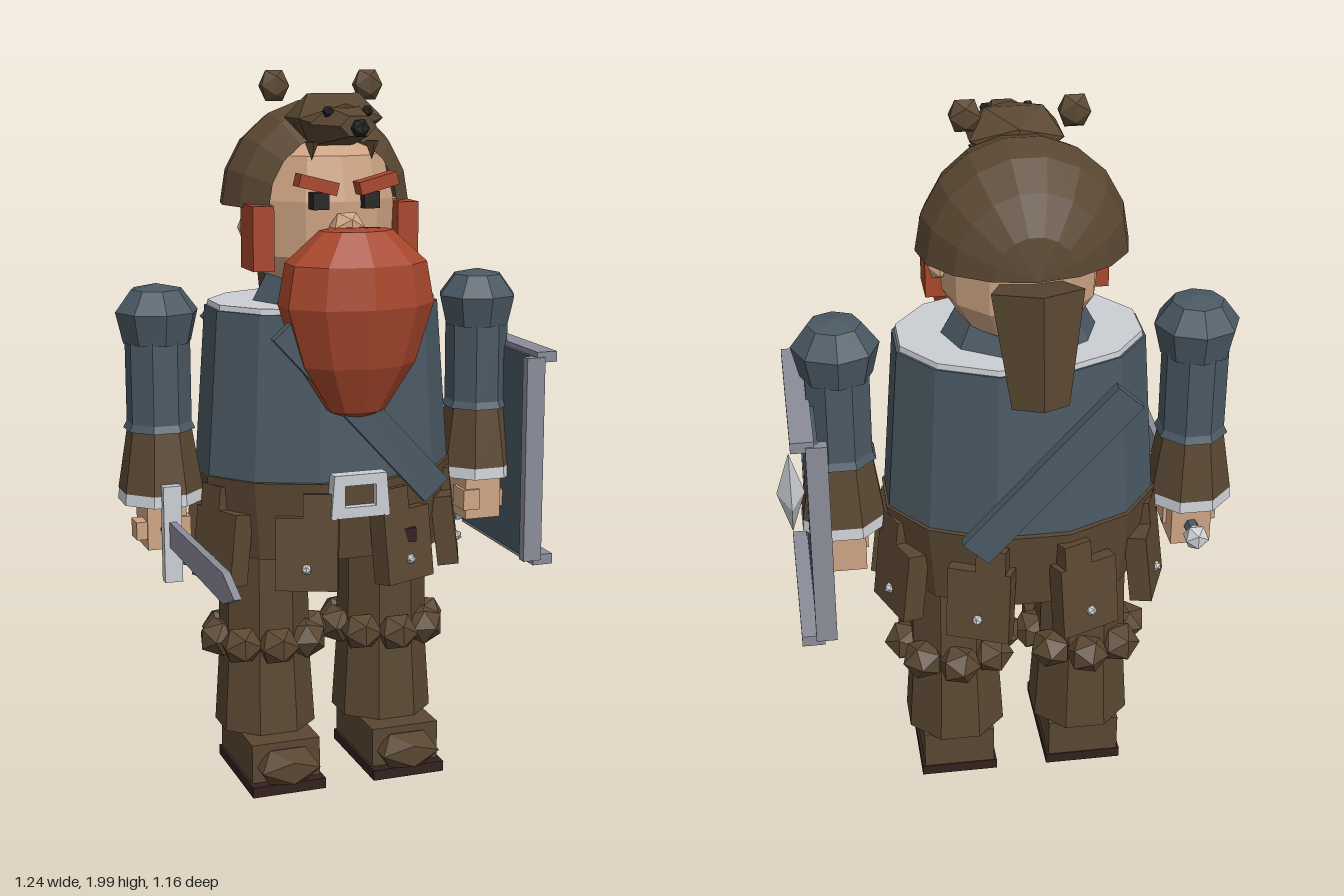
import * as THREE from 'three';

const mat = (name, color, side = THREE.FrontSide) => {
  const m = new THREE.MeshStandardMaterial({ color, flatShading: true, side });
  m.name = name;
  return m;
};

export function createModel() {
  const root = new THREE.Group();
  const body = new THREE.Group();
  body.name = 'figure';
  body.position.set(-0.03, 0, -0.18); // the body stands off centre because of sword and shield
  root.add(body);

  const brown = mat('leatherBrown', 0x5a4732, THREE.DoubleSide);
  const slate = mat('slateArmour', 0x4b5964);
  const steel = mat('steel', 0x8a8d99);
  const light = mat('paleMetal', 0xcbced3);
  const red = mat('redHair', 0xa8472c);
  const skin = mat('skin', 0xcfa584);
  const sole = mat('darkSole', 0x33211f);
  const black = mat('black', 0x262325);

  const add = (name, geo, m, x, y, z, parent = body) => {
    const mesh = new THREE.Mesh(geo, m);
    mesh.name = name;
    mesh.position.set(x, y, z);
    parent.add(mesh);
    return mesh;
  };
  const box = (w, h, d) => new THREE.BoxGeometry(w, h, d);
  const cyl = (rt, rb, h, n) => new THREE.CylinderGeometry(rt, rb, h, n).rotateY(Math.PI / n);
  const ball = (rx, ry = rx, rz = rx) => new THREE.IcosahedronGeometry(1, 0).scale(rx, ry, rz);
  const lathe = (pts, n) => new THREE.LatheGeometry(pts.map(p => new THREE.Vector2(...p)), n);

  // Torso, collar and neck guard
  add('torso', cyl(0.335, 0.37, 0.48, 12).scale(1, 1, 0.74), slate, 0, 1.115, 0);
  add('collar', cyl(0.325, 0.33, 0.03, 12).scale(1, 1, 0.74), light, 0, 1.355, 0);
  add('neckGuard', cyl(0.15, 0.205, 0.1, 10).scale(1, 1, 0.85), slate, 0, 1.415, 0);
  add('waist', cyl(0.375, 0.35, 0.22, 12).scale(1, 1, 0.77), brown, 0, 0.79, 0);

  // Shoulder strap, one plate in front and one behind
  add('strapFront', box(0.09, 0.64, 0.03), slate, 0.01, 1.1, 0.295).rotation.z = 0.74;
  add('strapBack', box(0.09, 0.58, 0.03), slate, -0.04, 1.1, -0.3).rotation.z = 0.74;

  // Belt buckle
  const frame = new THREE.Shape([[-0.085, -0.06], [0.085, -0.06], [0.075, 0.06], [-0.075, 0.06]].map(p => new THREE.Vector2(...p)));
  frame.holes.push(new THREE.Path([[-0.045, -0.03], [-0.045, 0.03], [0.045, 0.03], [0.045, -0.03]].map(p => new THREE.Vector2(...p))));
  add('buckle', new THREE.ExtrudeGeometry(frame, { depth: 0.04, bevelEnabled: false }), light, 0, 0.87, 0.28);
  add('buckleCentre', box(0.1, 0.07, 0.03), brown, 0, 0.87, 0.28);
  add('beltTab', box(0.11, 0.04, 0.03), sole, 0.115, 0.74, 0.285);

  // Skirt plates with rivets
  for (let i = 0; i < 8; i++) {
    const a = (i + 0.5) * Math.PI / 4;
    const plate = new THREE.Group();
    plate.name = 'skirtPlate';
    plate.position.set(Math.sin(a) * 0.36, 0.71, Math.cos(a) * 0.295);
    plate.rotation.set(-0.12, a, 0, 'YXZ');
    body.add(plate);
    add('plate', box(0.17, 0.2, 0.06), brown, 0, 0, 0, plate);
    add('plateLoop', box(0.08, 0.13, 0.05), brown, i % 2 ? 0.03 : -0.03, 0.1, 0.005, plate);
    add('rivet', ball(0.015), light, 0, -0.04, 0.032, plate);
  }

  // Legs with boots and fur cuffs
  for (const s of [-1, 1]) {
    const leg = new THREE.Group();
    leg.name = s > 0 ? 'leftLeg' : 'rightLeg';
    leg.position.x = s * 0.18;
    body.add(leg);
    add('shin', cyl(0.125, 0.145, 0.3, 8), brown, 0, 0.29, 0, leg);
    add('thigh', cyl(0.125, 0.13, 0.34, 8), brown, 0, 0.58, 0, leg);
    add('boot', box(0.2, 0.115, 0.31), brown, 0, 0.085, 0.045, leg);
    add('toeCap', ball(0.1, 0.06, 0.07), brown, 0, 0.075, 0.215, leg);
    add('sole', box(0.215, 0.03, 0.345), sole, 0, 0.015, 0.06, leg);
    for (let i = 0; i < 8; i++) {
      const a = i * Math.PI / 4;
      const tuft = add('furTuft', ball(0.062, 0.058, 0.062), brown, Math.sin(a) * 0.135, 0.405, Math.cos(a) * 0.135, leg);
      tuft.rotation.y = a * 1.7;
    }
  }

  // Arms
  for (const s of [-1, 1]) {
    const arm = new THREE.Group();
    arm.name = s > 0 ? 'leftArm' : 'rightArm';
    arm.position.x = s * 0.475;
    body.add(arm);
    add('shoulderCap', lathe([[0, 1.27], [0.095, 1.27], [0.115, 1.355], [0.07, 1.415], [0, 1.43]], 8), slate, 0, 0, 0, arm);
    add('upperArm', cyl(0.09, 0.09, 0.25, 8), slate, 0, 1.17, 0, arm);
    add('elbowBand', cyl(0.085, 0.1, 0.03, 8), slate, 0, 1.045, 0, arm);
    add('forearm', cyl(0.09, 0.118, 0.17, 8), brown, 0, 0.945, 0, arm);
    add('cuff', cyl(0.116, 0.12, 0.035, 8), light, 0, 0.845, 0, arm);
    add('hand', box(0.11, 0.13, 0.13), skin, 0, 0.765, 0, arm);
    add('thumb', box(0.06, 0.05, 0.06), skin, s * 0.055, 0.755, 0.03, arm);
    add('knuckle', box(0.05, 0.06, 0.08), skin, -s * 0.04, 0.76, 0.035, arm);
  }

  // Sword held forward in the right hand
  const sword = new THREE.Group();
  sword.name = 'sword';
  sword.position.set(-0.475, 0.757, 0);
  body.add(sword);
  const outline = new THREE.Shape([[0.1, -0.035], [0.65, -0.04], [0.75, 0], [0.65, 0.04], [0.1, 0.035]].map(p => new THREE.Vector2(...p)));
  add('blade', new THREE.ExtrudeGeometry(outline, { depth: 0.02, bevelEnabled: false }).translate(0, 0, -0.01).rotateY(-Math.PI / 2), steel, 0, 0, 0, sword);
  add('guard', box(0.05, 0.27, 0.03), light, 0, 0, 0.115, sword);
  add('grip', cyl(0.02, 0.02, 0.24, 6).rotateX(Math.PI / 2), slate, 0, 0, 0, sword);
  add('pommel', ball(0.037), light, 0, 0, -0.125, sword);

  // Shield on the left arm
  const shield = new THREE.Group();
  shield.name = 'shield';
  shield.position.set(0.53, 0.91, 0);
  body.add(shield);
  add('shieldPanel', box(0.03, 0.59, 0.49), slate, 0.025, 0, 0, shield);
  for (const s of [-1, 1]) {
    add('shieldSideBar', box(0.055, 0.59, 0.03), steel, 0.015, 0, s * 0.245, shield);
    add('shieldEndBar', box(0.06, 0.03, 0.51), steel, 0.05, s * 0.295, 0, shield);
  }
  add('shieldBoss', new THREE.OctahedronGeometry(1).scale(0.038, 0.122, 0.095), light, 0.082, 0.01, 0, shield);

  // Head, face and beard
  add('head', lathe([[0, 1.42], [0.15, 1.42], [0.2, 1.5], [0.205, 1.65], [0.175, 1.77], [0, 1.84]], 12), skin, 0, 0, -0.01);
  add('nose', ball(0.05, 0.045, 0.05), skin, 0, 1.585, 0.21);
  for (const s of [-1, 1]) {
    add('eye', box(0.045, 0.045, 0.04), black, s * 0.072, 1.655, 0.19);
    add('eyebrow', box(0.11, 0.035, 0.05), red, s * 0.085, 1.7, 0.205).rotation.z = s * 0.25;
    add('sideburn', box(0.06, 0.175, 0.115), red, s * 0.208, 1.552, 0.072);
    add('ear', ball(0.035, 0.045, 0.03), skin, s * 0.205, 1.57, -0.015);
  }
  const beard = lathe([[0, 1.07], [0.08, 1.1], [0.165, 1.23], [0.215, 1.39], [0.195, 1.5], [0.1, 1.585], [0, 1.59]], 10);
  add('beard', beard.scale(1, 1, 0.7), red, 0, 0, 0.28);

  // Fur hood: half dome open at the face, with a hanging tail
  const dome = new THREE.SphereGeometry(1, 9, 6, 0, Math.PI, 0, Math.PI * 0.76).rotateX(-Math.PI / 2);
  add('hood', dome.scale(0.27, 0.285, 0.225), brown, 0, 1.63, -0.06);
  add('hoodTail', cyl(0.12, 0.075, 0.29, 5), brown, 0, 1.465, -0.3).rotation.x = 0.25;

  // Animal mask on top of the hood
  add('maskBrow', ball(0.14, 0.075, 0.12), brown, 0, 1.87, 0.1);
  add('maskSnout', cyl(0.05, 0.115, 0.2, 6).rotateX(Math.PI / 2).scale(1, 0.6, 1), brown, 0, 1.855, 0.2);
  add('maskNose', ball(0.026), black, 0, 1.85, 0.31);
  for (const s of [-1, 1]) {
    add('maskEar', ball(0.046, 0.048, 0.03), brown, s * 0.135, 1.952, 0);
    add('maskEye', ball(0.016), black, s * 0.055, 1.89, 0.215);
    add('maskFang', new THREE.ConeGeometry(0.02, 0.05, 4).rotateX(Math.PI), brown, s * 0.085, 1.785, 0.17);
  }
  return root;
}
